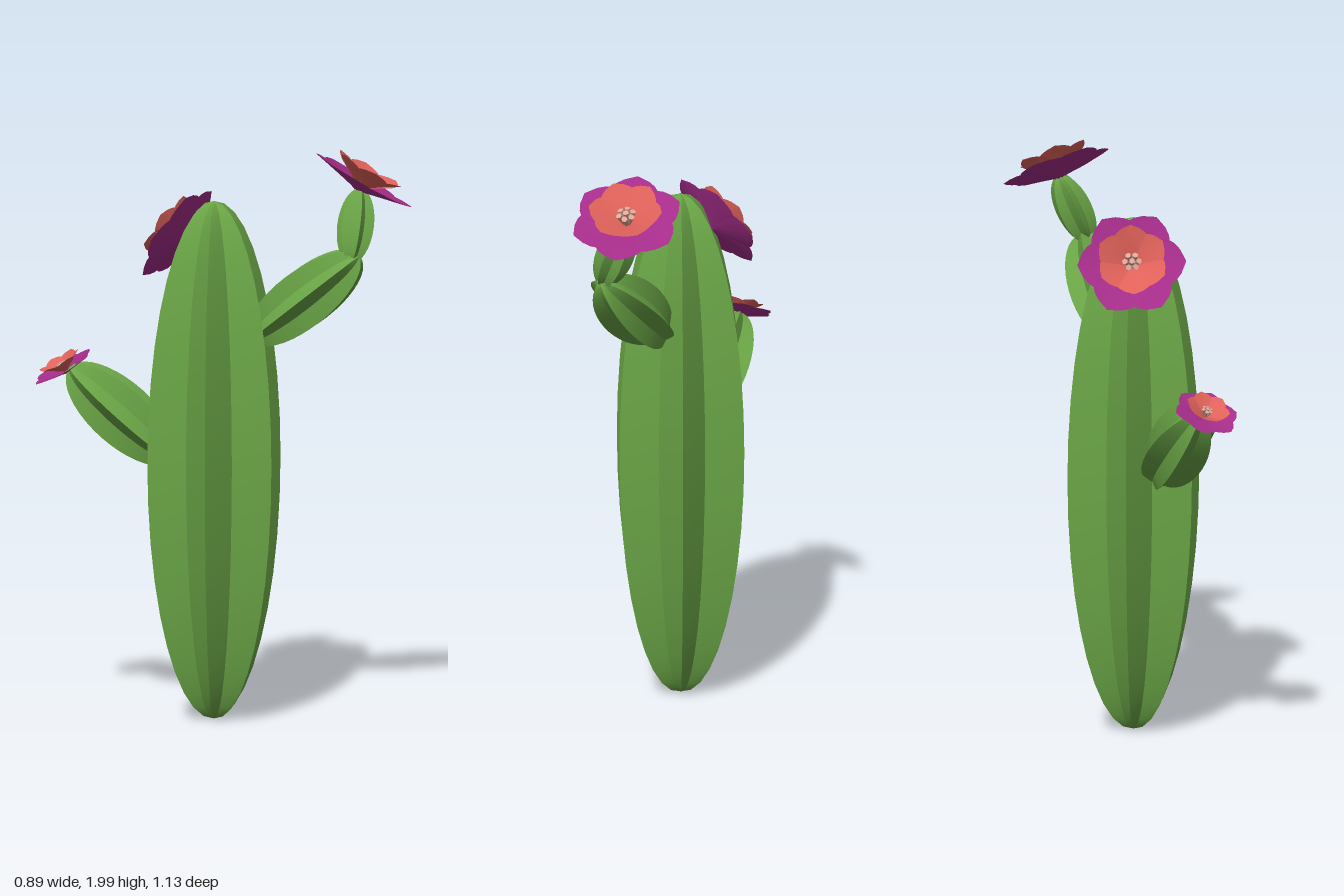
import * as THREE from 'three';

const mat = (name, color, side = THREE.FrontSide) => {
  const m = new THREE.MeshStandardMaterial({ color, side });
  m.name = name;
  return m;
};
const green = mat('cactus green', 0x6aa546);
const purple = mat('outer petal purple', 0xa52d8a, THREE.DoubleSide);
const coral = mat('inner petal coral', 0xe0625a, THREE.DoubleSide);
const pale = mat('stamen pale pink', 0xe0a898);

// Unit spheroid with six sharp ribs; each flank is its own smooth strip
function ribbedGeometry(rings = 20, ribs = 6, notch = 0.64) {
  const pos = [], index = [];
  const n = ribs * 2;
  for (let k = 0; k < n; k++) {
    const start = pos.length / 3;
    for (let j = 0; j <= rings; j++) {
      const a = Math.PI * j / rings;
      for (const i of [k, k + 1]) {
        const r = Math.sin(a) * (i % 2 ? notch : 1);
        const t = i / n * Math.PI * 2;
        pos.push(r * Math.cos(t), -Math.cos(a), r * Math.sin(t));
      }
      if (j < rings) {
        const p = start + j * 2;
        index.push(p, p + 2, p + 1, p + 1, p + 2, p + 3);
      }
    }
  }
  const g = new THREE.BufferGeometry();
  g.setAttribute('position', new THREE.Float32BufferAttribute(pos, 3));
  g.setIndex(index);
  return g;
}

// Ribbed stem running from base to tip
function stem(name, base, tip, radius) {
  const a = new THREE.Vector3(...base), b = new THREE.Vector3(...tip);
  const axis = b.clone().sub(a);
  const half = axis.length() / 2;
  axis.normalize();
  const side = new THREE.Vector3(0, 1, 0).cross(axis);
  if (side.lengthSq() < 1e-6) side.set(0, 0, 1);
  side.normalize();
  const third = side.clone().cross(axis);
  const g = ribbedGeometry();
  g.scale(radius, half, radius);
  g.applyMatrix4(new THREE.Matrix4().makeBasis(side, axis, third));
  g.computeVertexNormals();
  const mesh = new THREE.Mesh(g, green);
  mesh.name = name;
  mesh.position.copy(a.add(b).multiplyScalar(0.5));
  return mesh;
}

// Cupped, softly pointed petal along +x
function petalGeometry(length, width, rise, curl) {
  const g = new THREE.PlaneGeometry(1, 2, 10, 6);
  const p = g.attributes.position;
  for (let i = 0; i < p.count; i++) {
    const t = p.getX(i) + 0.5, s = p.getY(i);
    const w = width * (0.12 * (1 - t) + Math.pow(Math.sin(Math.PI * Math.pow(t, 1.45)), 0.75));
    const y = rise * Math.pow(t, curl) + 0.12 * width * s * s * Math.sin(Math.PI * t);
    p.setXYZ(i, length * t, y, -w * s);
  }
  g.computeVertexNormals();
  return g;
}

const outerPetal = petalGeometry(0.195, 0.083, 0.045, 0.9);
const innerPetal = petalGeometry(0.13, 0.06, 0.085, 0.85);
const stamenShape = new THREE.CylinderGeometry(0.011, 0.004, 0.075, 6);
stamenShape.translate(0, 0.0375, 0);

function flower(name, at, normal, size, spin) {
  const f = new THREE.Group();
  f.name = name;
  for (let i = 0; i < 6; i++) {
    const turn = spin + i * Math.PI / 3;
    const outer = new THREE.Mesh(outerPetal, purple);
    outer.name = 'outerPetal';
    outer.rotation.y = turn;
    const inner = new THREE.Mesh(innerPetal, coral);
    inner.name = 'innerPetal';
    inner.rotation.y = turn + Math.PI / 6;
    inner.position.y = 0.008;
    const stamen = new THREE.Mesh(stamenShape, pale);
    stamen.name = 'stamen';
    stamen.rotation.set(0, turn, -0.35);
    f.add(outer, inner, stamen);
  }
  const pistil = new THREE.Mesh(stamenShape, pale);
  pistil.name = 'pistil';
  f.add(pistil);
  f.position.set(...at);
  f.scale.setScalar(size);
  f.quaternion.setFromUnitVectors(new THREE.Vector3(0, 1, 0), new THREE.Vector3(...normal).normalize());
  return f;
}

export function createModel() {
  const model = new THREE.Group();
  model.name = 'floweringCactus';
  const deg = Math.PI / 180;
  // Trunk and arms
  model.add(
    stem('trunk', [-0.04, 0, -0.025], [-0.04, 1.82, -0.025], 0.25),
    stem('frontArm', [0.03, 1.335, 0.085], [0.18, 1.645, 0.44], 0.113),
    stem('frontArmTip', [0.16, 1.62, 0.42], [0.262, 1.865, 0.38], 0.066),
    stem('backArm', [-0.13, 0.91, -0.13], [-0.32, 1.23, -0.44], 0.115),
  );
  // Blossoms
  model.add(
    flower('frontArmFlower', [0.255, 1.855, 0.375], [0.43, 1, 0.4], 1, 15 * deg),
    flower('trunkFlower', [-0.045, 1.67, -0.14], [-0.12, 0.5, -0.85], 0.97, 10 * deg),
    flower('backArmFlower', [-0.33, 1.21, -0.445], [-0.38, 1, -0.43], 0.6, 30 * deg),
  );
  return model;
}
